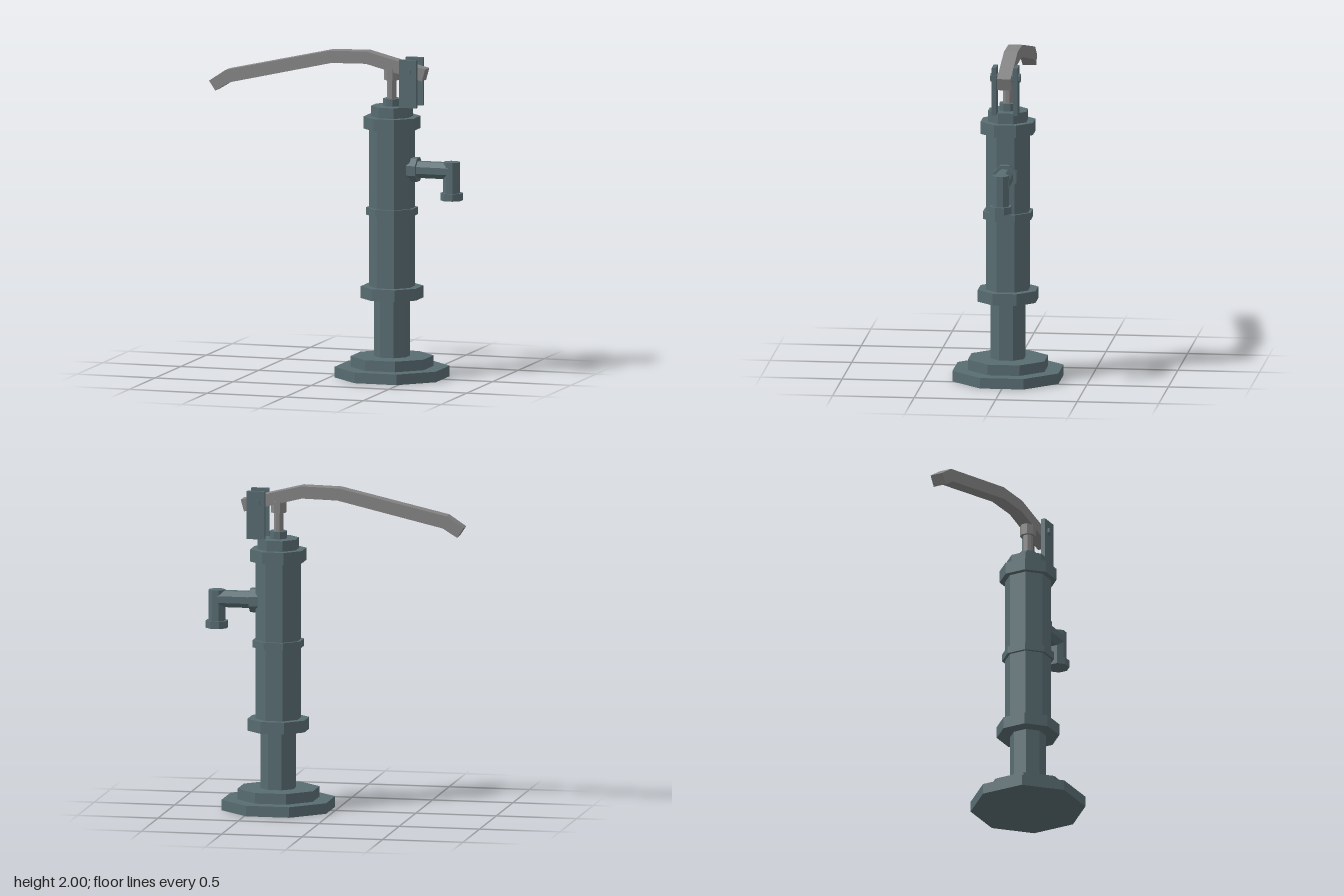
import * as THREE from 'three';

const AXIS_X = 0.355; // centre line of the pump column

export function createModel() {
  const model = new THREE.Group();
  const iron = new THREE.MeshStandardMaterial({ color: 0x586c71 });
  iron.name = 'dark iron';
  const steel = new THREE.MeshStandardMaterial({ color: 0x868686 });
  steel.name = 'grey steel';

  const add = (name, geometry, material, x = 0, y = 0, z = 0) => {
    const flat = geometry.index ? geometry.toNonIndexed() : geometry;
    flat.computeVertexNormals();
    const mesh = new THREE.Mesh(flat, material);
    mesh.name = name;
    mesh.position.set(x, y, z);
    model.add(mesh);
    return mesh;
  };

  // Octagonal prism with flat sides facing the axes; a is half its width
  const octagon = (a, length) =>
    new THREE.CylinderGeometry(a / Math.cos(Math.PI / 8), a / Math.cos(Math.PI / 8), length, 8)
      .rotateY(Math.PI / 8);
  const upright = (name, a, y0, y1, material = iron, x = AXIS_X) =>
    add(name, octagon(a, y1 - y0), material, x, (y0 + y1) / 2);
  const sideways = (name, a, x0, x1, y) =>
    add(name, octagon(a, x1 - x0).rotateZ(Math.PI / 2), iron, (x0 + x1) / 2, y);

  // Column, from the ground up
  upright('basePlate', 0.325, 0, 0.065);
  upright('baseStep', 0.235, 0.065, 0.13);
  upright('lowerPipe', 0.102, 0.13, 0.487);
  upright('lowerCollar', 0.177, 0.487, 0.56);
  upright('barrel', 0.13, 0.56, 1.53);
  upright('middleRing', 0.147, 1.0, 1.045);
  upright('upperCollar', 0.161, 1.53, 1.605);
  upright('cap', 0.118, 1.605, 1.67);
  upright('rodGland', 0.05, 1.67, 1.715);

  // Piston rod and the head that joins it to the lever
  upright('pistonRod', 0.028, 1.715, 1.84, steel, 0.353);
  upright('rodHead', 0.045, 1.83, 1.9, steel, 0.353);

  // Spout
  sideways('spoutFlange', 0.072, 0.465, 0.525, 1.283);
  sideways('spoutPipe', 0.05, 0.525, 0.735, 1.285);
  upright('spoutElbow', 0.048, 1.15, 1.34, iron, 0.737);
  upright('spoutNozzle', 0.064, 1.105, 1.15, iron, 0.737);

  // Lever, a bent bar
  const outline = [
    [-0.765, 1.715], [-0.675, 1.77], [-0.02, 1.92], [0.2, 1.925], [0.56, 1.833],
    [0.58, 1.906], [0.205, 2.0], [-0.03, 1.995], [-0.7, 1.845], [-0.805, 1.775],
  ].map(([x, y]) => new THREE.Vector2(x, y));
  const bar = new THREE.ExtrudeGeometry(new THREE.Shape(outline), { depth: 0.084, bevelEnabled: false });
  add('lever', bar, steel, 0, 0, -0.042);

  // Bracket plates on both sides of the lever, with hexagonal pivot bolts
  for (const side of [1, -1]) {
    add('bracketPlate', new THREE.BoxGeometry(0.11, 0.295, 0.026), iron, 0.48, 1.8175, side * 0.066);
    const bolt = new THREE.CylinderGeometry(0.027, 0.027, 0.05, 6).rotateX(Math.PI / 2);
    add('pivotBolt', bolt, iron, 0.48, 1.895, side * 0.067);
  }
  return model;
}
